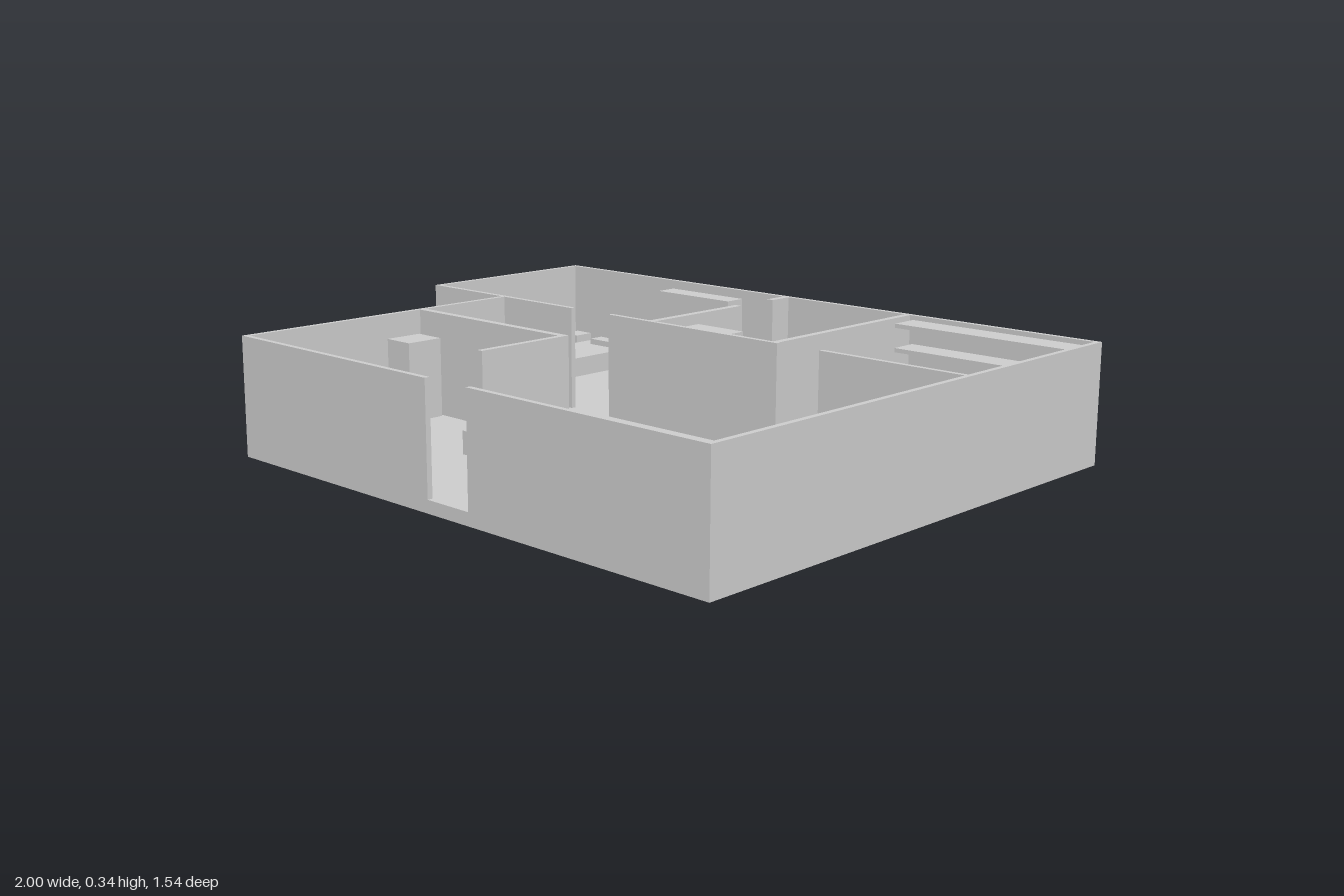
import * as THREE from 'three';

const MAT = new THREE.MeshStandardMaterial({ color: 0xcccccc, flatShading: true });
const F = 0.035;   // floor level
const H = 0.335;   // top of the walls

export function createModel() {
  const model = new THREE.Group();

  const add = (name, geometry, parent = model) => {
    const mesh = new THREE.Mesh(geometry, MAT);
    mesh.name = name;
    parent.add(mesh);
    return mesh;
  };

  // Axis-aligned block given by its limits
  const block = (name, x0, x1, z0, z1, y1, y0 = F, parent = model) => {
    const mesh = add(name, new THREE.BoxGeometry(x1 - x0, y1 - y0, z1 - z0), parent);
    mesh.position.set((x0 + x1) / 2, (y0 + y1) / 2, (z0 + z1) / 2);
    return mesh;
  };

  // Plan shape (x, z) raised from y0 to y1
  const raise = (name, shape, y0, y1) => {
    const g = new THREE.ExtrudeGeometry(shape, { depth: y1 - y0, bevelEnabled: false, curveSegments: 8 });
    g.rotateX(Math.PI / 2);
    g.translate(0, y1, 0);
    return add(name, g);
  };
  const planShape = (pts) => new THREE.Shape(pts.map(([x, z]) => new THREE.Vector2(x, z)));

  // Open-topped basin: rim with a hole over a solid bottom
  const basin = (name, x0, x1, z0, z1, rim, bottom, top) => {
    const shape = planShape([[x0, z0], [x1, z0], [x1, z1], [x0, z1]]);
    const a = x0 + rim, b = x1 - rim, c = z0 + rim, d = z1 - rim;
    shape.holes.push(new THREE.Path([[a, c], [a, d], [b, d], [b, c]].map(([x, z]) => new THREE.Vector2(x, z))));
    raise(name, shape, bottom, top);
    block(name + 'Base', x0, x1, z0, z1, bottom);
  };

  // Floor with the cut-away corner
  raise('floor', planShape([[-1, -0.77], [1, -0.77], [1, 0.767], [-0.685, 0.767], [-0.685, -0.155], [-1, -0.155]]), 0, F);

  // Walls: [name, x0, x1, z0, z1]
  [
    ['backWall', -1, 1, -0.77, -0.755],
    ['bedroomSideWall', -1, -0.985, -0.755, -0.155],
    ['leftOuterWall', 0.985, 1, -0.755, 0.767],
    ['rightOuterWall', -0.685, -0.67, -0.155, 0.767],
    ['frontWallRight', -0.67, 0.09, 0.752, 0.767],
    ['frontWallLeft', 0.24, 0.985, 0.752, 0.767],
    ['bedroomFrontWall', -0.985, -0.375, -0.17, -0.155],
    ['bathroomFrontWall', -0.22, 0.405, -0.17, -0.155],
    ['studyFrontWall', 0.545, 0.985, -0.17, -0.155],
    ['bathroomDoorPost', -0.07, -0.048, -0.755, -0.68],
    ['bathroomSideWall', -0.07, -0.048, -0.535, -0.17],
    ['studySideWall', 0.38, 0.4, -0.755, -0.17],
    ['kitchenBackWall', -0.67, -0.065, 0.15, 0.172],
    ['kitchenSideWall', -0.083, -0.065, 0.172, 0.455],
  ].forEach(([name, ...r]) => block(name, ...r, H));

  // Solid furniture: [name, x0, x1, z0, z1, top, bottom]
  [
    // bedroom
    ['nightstand', -0.965, -0.9, -0.745, -0.68, 0.115],
    ['nightstand', -0.68, -0.62, -0.74, -0.675, 0.115],
    ['bed', -0.885, -0.69, -0.745, -0.445, 0.095],
    ['pillow', -0.835, -0.74, -0.73, -0.68, 0.113, 0.095],
    ['wardrobe', -0.52, -0.227, -0.748, -0.68, 0.31],
    ['dresser', -0.975, -0.7, -0.243, -0.173, 0.125],
    ['bedroomStool', -0.975, -0.91, -0.317, -0.25, 0.09],
    ['cornerCabinet', -0.675, -0.61, -0.238, -0.172, 0.13],
    // bathroom
    ['showerCabin', -0.045, 0.125, -0.345, -0.185, 0.305],
    ['toiletTank', 0.33, 0.372, -0.6, -0.52, 0.165],
    // study
    ['studyDesk', 0.89, 0.97, -0.57, -0.25, 0.13],
    // living room
    ['sofaChaise', 0.69, 0.982, 0.11, 0.235, 0.095],
    ['sofaSeat', 0.87, 0.945, 0.25, 0.55, 0.1],
    ['sofaBack', 0.945, 0.982, 0.25, 0.55, 0.16],
    ['sideTable', 0.87, 0.982, 0.56, 0.685, 0.12],
    ['screenStand', 0.39, 0.47, 0.275, 0.57, 0.085],
    ['screen', 0.422, 0.437, 0.34, 0.5, 0.183, 0.085],
    // kitchen
    ['fridge', -0.667, -0.57, 0.18, 0.295, 0.265],
    ['sideCounter', -0.667, -0.573, 0.445, 0.745, 0.15],
    ['frontCounter', -0.57, -0.235, 0.67, 0.745, 0.15],
    ['diningTable', -0.22, -0.095, 0.185, 0.34, 0.14],
    ['diningChair', -0.31, -0.25, 0.225, 0.285, 0.1],
    ['diningChair', -0.185, -0.125, 0.36, 0.425, 0.1],
  ].forEach(([name, x0, x1, z0, z1, y1, y0]) => block(name, x0, x1, z0, z1, y1, y0));

  // Kitchen bin
  add('bin', new THREE.CylinderGeometry(0.02, 0.02, 0.075, 10)).position.set(-0.63, F + 0.0375, 0.345);

  // Washbasin and bathtub with their taps
  basin('washbasin', 0.095, 0.22, -0.753, -0.685, 0.009, 0.12, 0.15);
  block('washbasinTap', 0.152, 0.163, -0.753, -0.72, 0.175, 0.165);
  block('washbasinTapStem', 0.152, 0.163, -0.753, -0.745, 0.165, 0.15);
  basin('bathtub', 0.14, 0.375, -0.295, -0.185, 0.008, 0.05, 0.105);
  block('bathtubTap', 0.342, 0.375, -0.243, -0.233, 0.13, 0.12);
  block('bathtubTapStem', 0.367, 0.375, -0.243, -0.233, 0.12, 0.105);

  // Toilet bowl, rounded at its front
  const bowl = new THREE.Shape();
  bowl.moveTo(0.33, -0.6);
  bowl.lineTo(0.33, -0.52);
  bowl.lineTo(0.28, -0.52);
  bowl.absarc(0.28, -0.56, 0.04, Math.PI / 2, Math.PI * 1.5, false);
  raise('toiletBowl', bowl, F, 0.11);

  // Study shelves along the back wall
  for (let i = 0; i < 4; i++) {
    const y = 0.1 + i * 0.07;
    block('shelf', 0.41, 0.975, -0.755, -0.67, y + 0.012, y);
  }

  // Armchair turned towards the study door
  const armchair = new THREE.Group();
  armchair.name = 'armchair';
  block('armchairSeat', -0.045, 0.045, -0.045, 0.064, 0.1, F, armchair);
  block('armchairBack', -0.064, 0.064, -0.064, -0.045, 0.18, F, armchair);
  for (const s of [-1, 1]) {
    block('armchairArm', s * 0.0545 - 0.0095, s * 0.0545 + 0.0095, -0.045, 0.064, 0.13, F, armchair);
  }
  armchair.position.set(0.547, 0, -0.55);
  armchair.rotation.y = -Math.PI / 4;
  model.add(armchair);

  return model;
}
